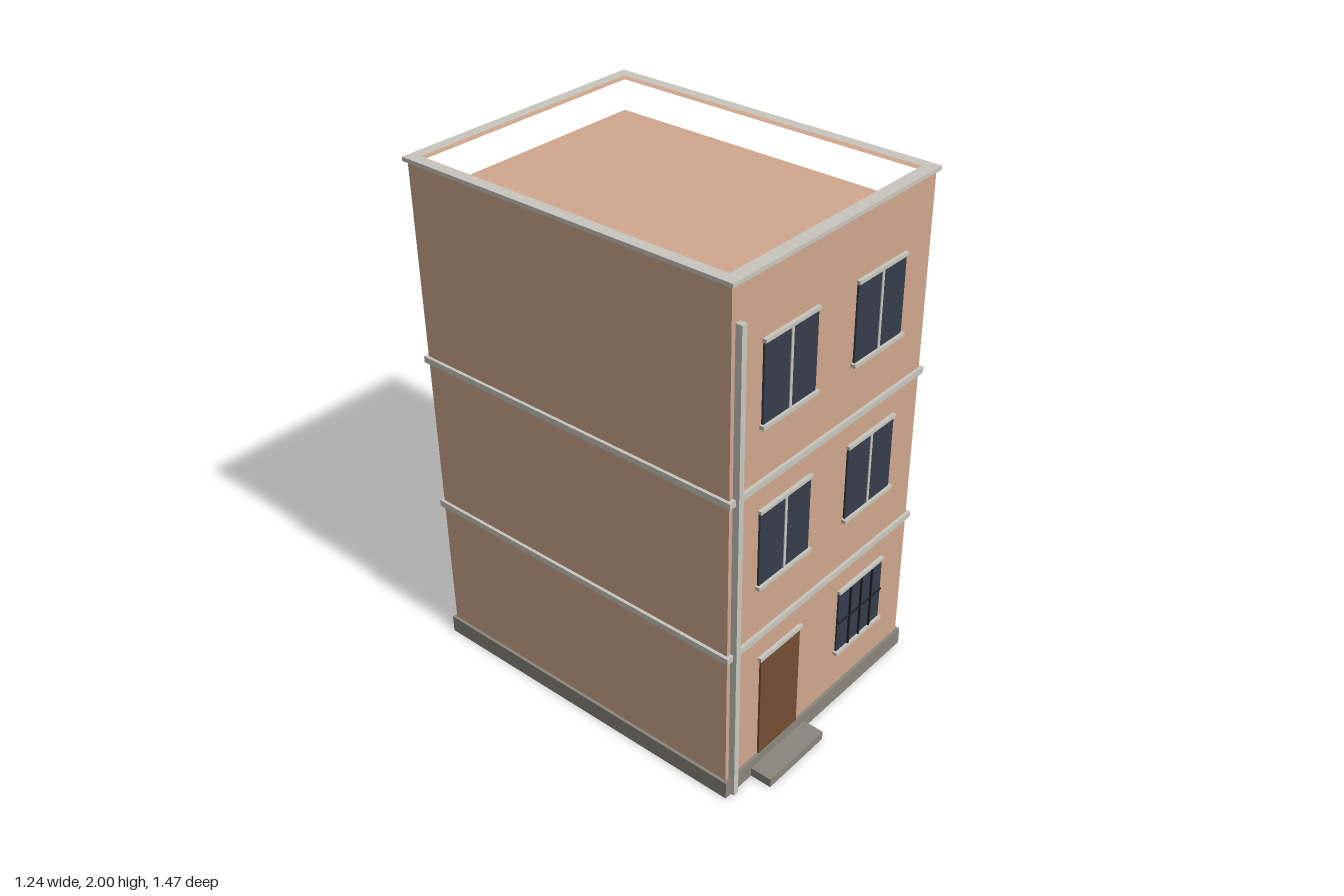
import * as THREE from 'three';

const mat = (name, color, flatShading = false) => {
  const m = new THREE.MeshStandardMaterial({ color, flatShading });
  m.name = name;
  return m;
};

export function createModel() {
  const wall = mat('terracotta wall', 0xd0a78d);
  const trim = mat('pale stone trim', 0xc8c6be);
  const stone = mat('grey plinth', 0x8a867c);
  const glass = mat('dark glass', 0x363d4a);
  const wood = mat('door wood', 0x744e33);
  const iron = mat('black iron', 0x1d2026);
  const leaf = mat('leaf green', 0x42843a, true);
  const clay = mat('pot brown', 0x6e4329, true);

  const model = new THREE.Group();
  model.name = 'apartmentBuilding';

  const add = (parent, name, geo, material, x, y, z) => {
    const m = new THREE.Mesh(geo, material);
    m.name = name;
    m.position.set(x, y, z);
    parent.add(m);
    return m;
  };
  // Box given by its min and max on each axis
  const box = (parent, name, material, x0, x1, y0, y1, z0, z1) =>
    add(parent, name, new THREE.BoxGeometry(x1 - x0, y1 - y0, z1 - z0), material,
      (x0 + x1) / 2, (y0 + y1) / 2, (z0 + z1) / 2);

  // Main wall faces, and the overhang of plinth, bands and coping
  const X0 = -0.612, X1 = 0.431, Z0 = -0.718, Z1 = 0.638, O = 0.012;
  const ROOF = 1.85, FLOOR = 0.62;

  // Rectangular ring lying flat, from y0 to y1
  const ring = (name, material, o, y0, y1) => {
    const rect = (P, x0, x1, z0, z1) => {
      const p = new P();
      p.moveTo(x0, -z0);
      p.lineTo(x1, -z0);
      p.lineTo(x1, -z1);
      p.lineTo(x0, -z1);
      p.closePath();
      return p;
    };
    const s = rect(THREE.Shape, X0 - o, X1 + o, Z0 - o, Z1 + o);
    s.holes.push(rect(THREE.Path, -0.58, 0.399, -0.686, 0.602));
    const g = new THREE.ExtrudeGeometry(s, { depth: y1 - y0, bevelEnabled: false });
    g.rotateX(-Math.PI / 2);
    add(model, name, g, material, 0, y0, 0);
  };

  // Body, parapet, plinth and floor bands
  box(model, 'walls', wall, X0, X1, 0.07, ROOF, Z0, Z1);
  ring('parapet', wall, 0, ROOF, 1.985);
  ring('coping', trim, O, 1.985, 2);
  box(model, 'plinth', stone, X0 - O, X1 + O, 0, 0.07, Z0 - O, Z1 + O);
  for (const i of [1, 2]) {
    box(model, 'floorBand', trim, X0 - O, X1 + O, FLOOR * i - 0.013, FLOOR * i + 0.011, Z0 - O, Z1 + O);
  }
  box(model, 'doorStep', stone, -0.483, -0.176, 0, 0.036, Z1, 0.735);
  box(model, 'drainpipe', trim, -0.595, -0.572, 0, 1.86, Z1, 0.663);

  // Facade groups: local x runs along the wall, local z points outward
  const facade = (name, x, z, turn) => {
    const g = new THREE.Group();
    g.name = name;
    g.position.set(x, 0, z);
    g.rotation.y = turn;
    model.add(g);
    return g;
  };
  const front = facade('frontFacade', 0, Z1, 0);
  const side = facade('leftFacade', X1, 0, Math.PI / 2);
  const back = facade('backFacade', 0, Z0, Math.PI);

  const windowAt = (f, u, y0, y1, mullion, bars) => {
    const g = new THREE.Group();
    g.name = 'window';
    g.position.x = u;
    f.add(g);
    box(g, 'pane', glass, -0.133, 0.133, y0, y1, 0, 0.008);
    box(g, 'sill', trim, -0.142, 0.142, y0 - 0.012, y0 + 0.002, 0, 0.018);
    box(g, 'lintel', trim, -0.137, 0.137, y1, y1 + 0.013, 0, 0.014);
    if (mullion) box(g, 'mullion', trim, -0.006, 0.006, y0, y1, 0, 0.011);
    if (bars) {
      for (const b of [-0.066, 0, 0.066]) {
        box(g, 'securityBar', iron, b - 0.003, b + 0.003, y0, y1, 0.008, 0.015);
      }
      const m = (y0 + y1) / 2;
      box(g, 'securityBar', iron, -0.133, 0.133, m - 0.003, m + 0.003, 0.008, 0.014);
    }
  };

  // Upper windows on three facades
  for (const i of [1, 2]) {
    const y0 = 0.834 + (i - 1) * FLOOR, y1 = y0 + 0.288;
    windowAt(front, -0.33, y0, y1, true, false);
    windowAt(front, 0.147, y0, y1, true, false);
    windowAt(side, 0.32, y0, y1 - 0.01, true, false);
    windowAt(back, 0.09, y0, y1 - 0.01, true, false);
  }
  // Barred ground floor windows
  windowAt(front, 0.147, 0.236, 0.503, false, true);
  windowAt(side, -0.32, 0.236, 0.503, false, true);
  windowAt(side, 0.32, 0.236, 0.503, true, true);

  // Entrance door
  box(front, 'entranceDoor', wood, -0.437, -0.22, 0.07, 0.5, 0, 0.008);
  box(front, 'doorLintel', trim, -0.446, -0.211, 0.5, 0.515, 0, 0.014);

  // Balconies with glazed door, railing and potted plants
  const BX = 0.617, BZ0 = 0.01, BZ1 = 0.484, R = 0.006;
  const makeBalcony = (base) => {
    const g = new THREE.Group();
    g.name = 'balcony';
    g.position.y = base;
    model.add(g);
    box(g, 'balconySlab', trim, X1, BX, -0.02, 0.024, BZ0, BZ1);
    box(g, 'balconyDoor', glass, X1, X1 + 0.008, 0.024, 0.53, 0.14, 0.355);
    box(g, 'balconyDoorLintel', trim, X1, X1 + 0.014, 0.53, 0.543, 0.131, 0.364);

    const xo = BX - R, xi = X1 + 0.012, za = BZ0 + 0.01, zb = BZ1 - 0.01;
    const posts = [[xi, za], [xo, za], [xo, (za + zb) / 2], [xo, zb], [xi, zb]];
    for (const [x, z] of posts) {
      box(g, 'railPost', trim, x - R, x + R, 0.024, 0.258, z - R, z + R);
    }
    for (const y of [0.134, 0.258]) {
      box(g, 'frontRail', trim, xo - R, xo + R, y - R, y + R, za - R, zb + R);
      for (const z of [za, zb]) box(g, 'sideRail', trim, X1, xo, y - R, y + R, z - R, z + R);
    }

    // Conical shrub and round shrub
    add(g, 'tallPot', new THREE.CylinderGeometry(0.026, 0.041, 0.1, 8), clay, 0.563, 0.074, 0.425);
    add(g, 'conicalShrub', new THREE.ConeGeometry(0.052, 0.09, 5), leaf, 0.563, 0.133, 0.425);
    add(g, 'roundPot', new THREE.CylinderGeometry(0.029, 0.038, 0.075, 8), clay, 0.563, 0.061, 0.068);
    add(g, 'roundShrub', new THREE.SphereGeometry(0.038, 8, 5), leaf, 0.563, 0.1, 0.068);
  };
  makeBalcony(FLOOR);
  makeBalcony(FLOOR * 2);

  return model;
}
